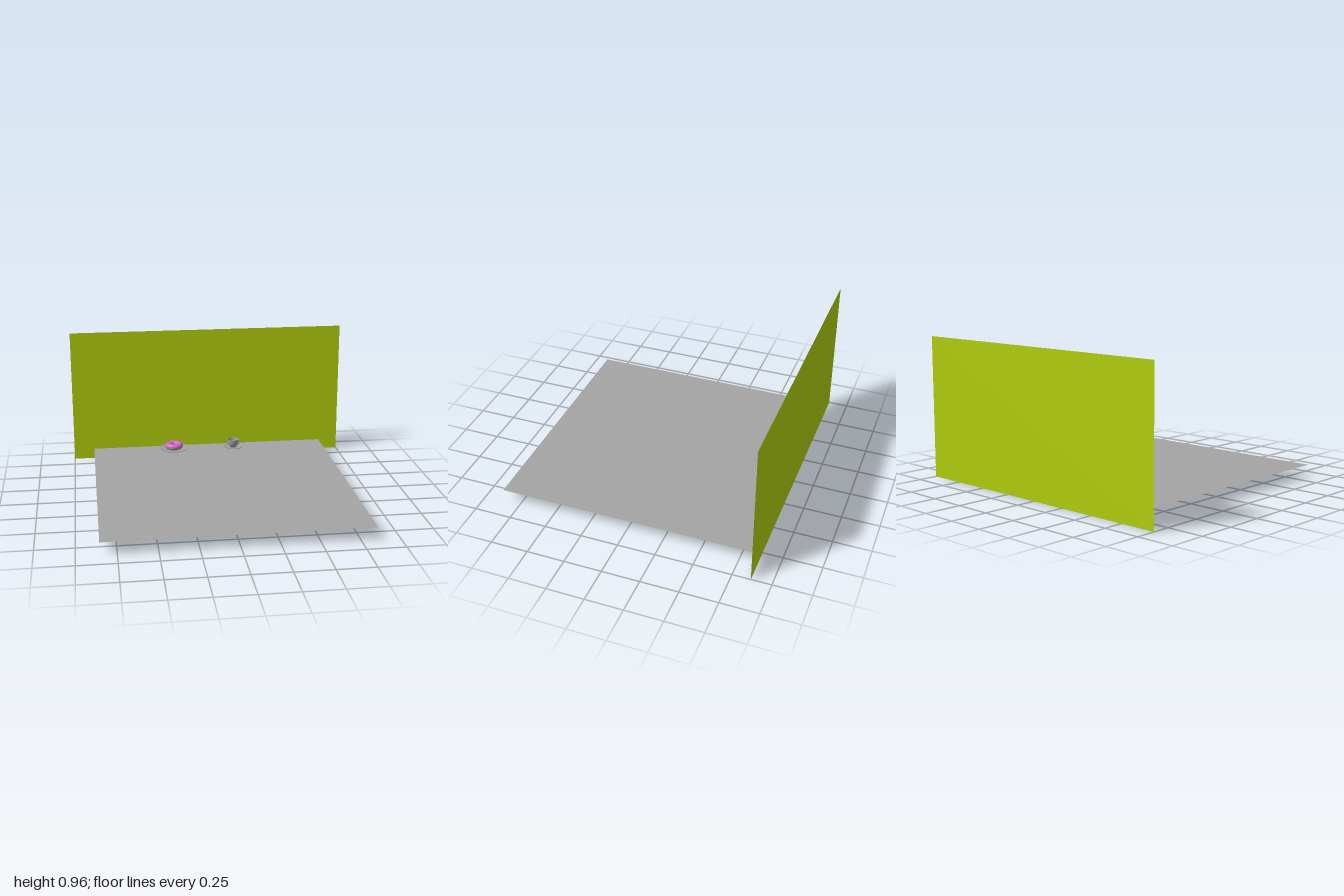
import * as THREE from 'three';
import { ParametricGeometry } from 'three/addons/geometries/ParametricGeometry.js';

const material = (name, color, double = false) => {
  const m = new THREE.MeshStandardMaterial({ color });
  m.name = name;
  if (double) m.side = THREE.DoubleSide;
  return m;
};

export function createModel() {
  const lime = material('limeWall', 0xb0cd0e, true);
  const grey = material('greyFloor', 0xa4a4a4, true);
  const china = material('greyChina', 0xa0a0a0, true);
  const pink = material('pinkIcing', 0xd468c4, true);
  const orange = material('orangeSprinkles', 0xe0a040);
  const purple = material('purpleSprinkles', 0x9a3f96);

  const group = new THREE.Group();
  const add = (parent, name, geometry, mat, x = 0, y = 0, z = 0) => {
    const mesh = new THREE.Mesh(geometry, mat);
    mesh.name = name;
    mesh.position.set(x, y, z);
    parent.add(mesh);
    return mesh;
  };
  const subgroup = (name, x, y, z) => {
    const g = new THREE.Group();
    g.name = name;
    g.position.set(x, y, z);
    group.add(g);
    return g;
  };
  const lathe = (points) =>
    new THREE.LatheGeometry(points.map(([r, y]) => new THREE.Vector2(r, y)), 48);
  // Shallow dish, from the underside out to the rim and back to the middle
  const dish = (r) => lathe([
    [0, 0], [r * 0.62, 0], [r * 0.66, 0.002], [r * 0.98, 0.009], [r, 0.011],
    [r * 0.98, 0.013], [r * 0.7, 0.007], [r * 0.62, 0.005], [0, 0.005],
  ]);

  // Wall and floor
  add(group, 'wall', new THREE.PlaneGeometry(2, 0.962), lime, 0, 0.481, -0.869);
  const floor = add(group, 'floor', new THREE.PlaneGeometry(1.71, 1.71), grey, 0, 0.082, 0.014);
  floor.rotation.x = -Math.PI / 2;

  // Plate with doughnut
  const snack = subgroup('doughnutOnPlate', -0.264, 0.088, -0.741);
  add(snack, 'plate', dish(0.109), china);

  const R = 0.044, T = 0.022, centreY = 0.0265;
  const dough = add(snack, 'dough', new THREE.TorusGeometry(R, T, 20, 48), china, 0, centreY, 0);
  dough.rotation.x = Math.PI / 2;

  // Icing covers the upper part of the ring, its lower edges run in waves
  const ringPoint = (around, across, tube, target) => {
    const r = R + tube * Math.cos(across);
    return target.set(r * Math.cos(around), tube * Math.sin(across), r * Math.sin(around));
  };
  const icing = new ParametricGeometry((u, v, target) => {
    const a = u * Math.PI * 2;
    const outer = -0.08 + 0.2 * Math.sin(a * 7) + 0.1 * Math.sin(a * 4 + 1);
    const inner = Math.PI + 0.15 + 0.15 * Math.sin(a * 5);
    const edge = Math.min(1, Math.min(v, 1 - v) * 8);
    ringPoint(a, outer + (inner - outer) * v, T + 0.002 * edge, target);
  }, 72, 20);
  add(snack, 'icing', icing, pink, 0, centreY, 0);

  // Sprinkles scattered over the icing
  const sprinkle = new THREE.CapsuleGeometry(0.0011, 0.005, 2, 6);
  for (let i = 0; i < 26; i++) {
    const a = i * 2.39996;
    const across = 0.55 + ((i * 0.618) % 1) * 2.0;
    const mesh = add(snack, 'sprinkle', sprinkle, i % 2 ? orange : purple);
    ringPoint(a, across, T + 0.0023, mesh.position);
    mesh.position.y += centreY;
    const normal = new THREE.Vector3(
      Math.cos(across) * Math.cos(a), Math.sin(across), Math.cos(across) * Math.sin(a));
    const tangent = new THREE.Vector3(-Math.sin(a), 0, Math.cos(a)).applyAxisAngle(normal, i * 1.7);
    mesh.quaternion.setFromUnitVectors(new THREE.Vector3(0, 1, 0), tangent);
  }

  // Saucer with cup
  const drink = subgroup('cupOnSaucer', 0.178, 0.088, -0.725);
  add(drink, 'saucer', dish(0.074), china);
  add(drink, 'cup', lathe([
    [0, 0.005], [0.024, 0.005], [0.024, 0.009], [0.031, 0.016], [0.037, 0.028],
    [0.0395, 0.044], [0.042, 0.063], [0.041, 0.064], [0.0395, 0.063],
    [0.037, 0.044], [0.0345, 0.029], [0.028, 0.018], [0.02, 0.013], [0, 0.012],
  ]), china);

  // Ear-shaped handle on the +x side
  const handlePath = new THREE.CatmullRomCurve3([
    [0.037, 0.052], [0.05, 0.057], [0.06, 0.051], [0.059, 0.039], [0.049, 0.03], [0.034, 0.026],
  ].map(([x, y]) => new THREE.Vector3(x, y, 0)));
  add(drink, 'handle', new THREE.TubeGeometry(handlePath, 28, 0.0033, 10), china);

  return group;
}
